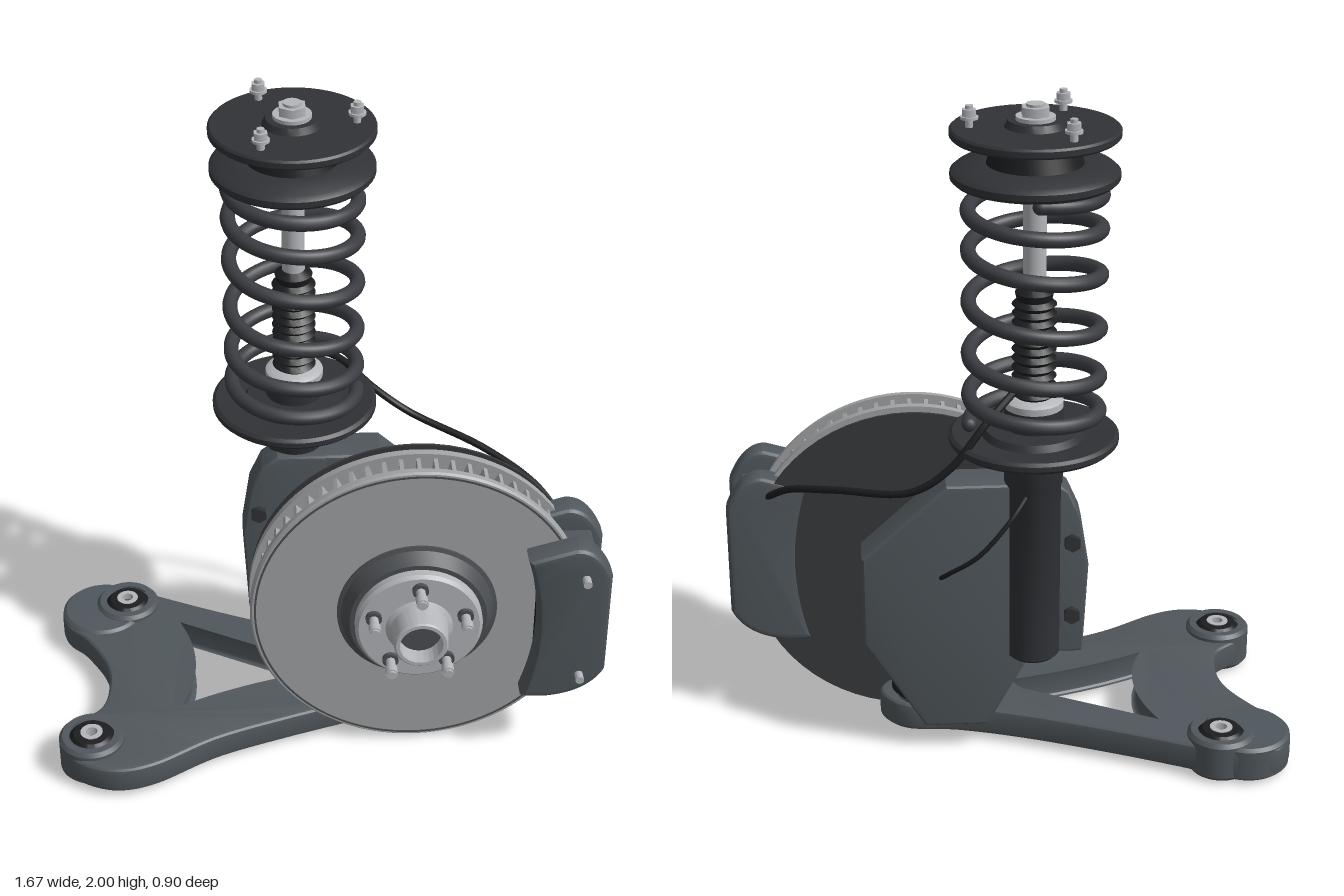
import * as THREE from 'three';
import { toCreasedNormals } from 'three/addons/utils/BufferGeometryUtils.js';
import { RoundedBoxGeometry } from 'three/addons/geometries/RoundedBoxGeometry.js';

const paint = (color) => new THREE.MeshStandardMaterial({ color, side: THREE.DoubleSide });
const MAT = {
  iron: paint(0x50575c), black: paint(0x303236), spring: paint(0x3a3c41), rubber: paint(0x1c1d1f),
  rotor: paint(0xa2a4a6), hat: paint(0x4c4f52), silver: paint(0xb4b6ba), shield: paint(0x38393c),
};
const V = (x, y, z) => new THREE.Vector3(x, y, z);
const P = (list) => list.map(([x, y]) => new THREE.Vector2(x, y));

export function createModel() {
  const root = new THREE.Group();
  root.name = 'suspensionCorner';

  function group(name, x = 0, y = 0, z = 0) {
    const g = new THREE.Group();
    g.name = name;
    g.position.set(x, y, z);
    root.add(g);
    return g;
  }
  function add(parent, name, geo, mat, x = 0, y = 0, z = 0) {
    const m = new THREE.Mesh(geo, mat);
    m.name = name;
    m.position.set(x, y, z);
    parent.add(m);
    return m;
  }
  const lathe = (pts, seg = 48) => toCreasedNormals(new THREE.LatheGeometry(P(pts), seg), 0.6);
  const latheZ = (pts, seg = 64) => lathe(pts, seg).rotateX(Math.PI / 2);
  const ring = (ri, ro, a, b) => [[ri, a], [ro, a], [ro, b], [ri, b], [ri, a]];
  const cylZ = (r, len, seg = 24) => new THREE.CylinderGeometry(r, r, len, seg).rotateX(Math.PI / 2);
  const tube = (pts, r) => new THREE.TubeGeometry(new THREE.CatmullRomCurve3(pts), 60, r, 10);
  // Extrusion spanning a to b, bevel included
  function slab(shape, a, b, bevel) {
    const geo = new THREE.ExtrudeGeometry(shape, {
      depth: b - a - 2 * bevel, bevelThickness: bevel, bevelSize: bevel, bevelOffset: -bevel,
      bevelSegments: 3, curveSegments: 24,
    });
    return toCreasedNormals(geo.translate(0, 0, a + bevel), 0.5);
  }

  // Strut: everything turned about one vertical axis
  const strut = group('strut', -0.075, 0, -0.16);
  add(strut, 'damperTube', lathe([[0, 0.31], [0.07, 0.31], [0.08, 0.32], [0.08, 0.87], [0.085, 0.88],
    [0.085, 1.115], [0, 1.115]]), MAT.black);
  add(strut, 'tubeCap', lathe([[0, 1.115], [0.085, 1.115], [0.085, 1.135], [0.07, 1.145], [0, 1.145]]), MAT.silver);
  add(strut, 'lowerSpringSeat', lathe([[0.08, 0.985], [0.13, 1.0], [0.235, 1.005], [0.245, 1.015], [0.245, 1.03],
    [0.235, 1.038], [0.15, 1.03], [0.14, 1.05], [0.08, 1.055]]), MAT.black);
  const bellows = [[0.045, 1.14]];
  for (let i = 0; i < 11; i++) bellows.push([0.064, 1.155 + i * 0.027], [0.05, 1.1685 + i * 0.027]);
  bellows.push([0.055, 1.46], [0.033, 1.475]);
  add(strut, 'dustBoot', lathe(bellows, 32), MAT.rubber);
  add(strut, 'pistonRod', new THREE.CylinderGeometry(0.033, 0.033, 0.74, 32), MAT.silver, 0, 1.5, 0);
  add(strut, 'upperSpringSeat', lathe([[0, 1.79], [0.225, 1.785], [0.235, 1.795], [0.235, 1.812], [0.22, 1.825],
    [0.14, 1.835], [0, 1.835]]), MAT.black);
  add(strut, 'mountRubber', lathe([[0, 1.835], [0.135, 1.835], [0.13, 1.85], [0.11, 1.912], [0, 1.912]]), MAT.rubber);
  add(strut, 'topMountPlate', lathe([[0, 1.908], [0.23, 1.908], [0.236, 1.914], [0.236, 1.93], [0.23, 1.936],
    [0.085, 1.936], [0.075, 1.955], [0, 1.955]]), MAT.black);
  add(strut, 'centreWasher', new THREE.CylinderGeometry(0.055, 0.055, 0.012, 32), MAT.silver, 0, 1.96, 0);
  add(strut, 'centreNut', new THREE.CylinderGeometry(0.042, 0.042, 0.03, 6), MAT.silver, 0, 1.977, 0);
  add(strut, 'rodEnd', new THREE.CylinderGeometry(0.026, 0.026, 0.03, 20), MAT.silver, 0, 1.985, 0);
  for (let i = 0; i < 3; i++) {
    const a = i * Math.PI * 2 / 3, x = 0.18 * Math.cos(a), z = 0.18 * Math.sin(a);
    add(strut, 'mountStud', new THREE.CylinderGeometry(0.011, 0.011, 0.085, 12), MAT.silver, x, 1.955, z);
    add(strut, 'mountWasher', new THREE.CylinderGeometry(0.025, 0.025, 0.008, 20), MAT.silver, x, 1.963, z);
    add(strut, 'mountNut', new THREE.CylinderGeometry(0.021, 0.021, 0.02, 6), MAT.silver, x, 1.977, z);
  }
  // Coil spring, with end coils wound closer
  const coil = [];
  for (let i = 0; i <= 140; i++) {
    const t = i / 140, a = t * 5.75 * Math.PI * 2;
    coil.push(V(0.186 * Math.cos(a), 1.06 + 0.705 * (t - 0.05 * Math.sin(2 * Math.PI * t)), 0.186 * Math.sin(a)));
  }
  add(strut, 'coilSpring', new THREE.TubeGeometry(new THREE.CatmullRomCurve3(coil), 420, 0.022, 12), MAT.spring);
  for (const p of [coil[0], coil[140]]) add(strut, 'springEnd', new THREE.SphereGeometry(0.022, 12, 8), MAT.spring, p.x, p.y, p.z);

  // Knuckle and the clamp holding the strut
  const knuckle = group('knuckle');
  add(knuckle, 'knuckleBody', slab(new THREE.Shape(P([[-0.06, 0.3], [0.06, 0.08], [0.25, 0.08], [0.43, 0.37],
    [0.43, 0.65], [0.18, 0.88], [-0.06, 0.88]])), -0.195, -0.062, 0.015), MAT.iron);
  add(knuckle, 'strutClamp', slab(new THREE.Shape(P([[-0.225, 0.31], [0.02, 0.31], [0.02, 0.88], [-0.13, 0.88],
    [-0.18, 0.84], [-0.215, 0.76], [-0.24, 0.6]])), -0.17, -0.06, 0.012), MAT.iron);
  for (const y of [0.44, 0.68]) add(knuckle, 'clampBolt', cylZ(0.026, 0.15, 6), MAT.black, -0.19, y, -0.115);
  add(knuckle, 'hubCarrier', latheZ([[0, -0.08], [0.15, -0.08], [0.13, 0.0], [0.13, 0.1], [0, 0.1]]), MAT.iron, 0.275, 0.51, 0);

  // Brake rotor, hub and wheel studs, all about the wheel axis
  const wheel = group('rotorAndHub', 0.275, 0.51, 0);
  add(wheel, 'dustShield', latheZ(ring(0.1, 0.495, 0.062, 0.07)), MAT.shield);
  add(wheel, 'innerDisc', latheZ(ring(0.17, 0.5, 0.1, 0.124), 96), MAT.rotor);
  add(wheel, 'outerDisc', latheZ([[0.2, 0.196], [0.5, 0.196], [0.5, 0.214], [0.494, 0.22], [0.2, 0.22]], 96), MAT.rotor);
  add(wheel, 'discRim', latheZ(ring(0.482, 0.488, 0.215, 0.222), 96), MAT.hat);
  for (let i = 0; i < 60; i++) {
    const a = i * Math.PI / 30;
    const vane = add(wheel, 'coolingVane', new THREE.BoxGeometry(0.24, 0.012, 0.08), MAT.rotor,
      0.365 * Math.cos(a), 0.365 * Math.sin(a), 0.16);
    vane.rotation.z = a;
  }
  add(wheel, 'rotorHat', latheZ([[0.18, 0.1], [0.24, 0.2], [0.24, 0.226], [0.228, 0.23], [0.205, 0.272], [0, 0.272]]), MAT.hat);
  add(wheel, 'hubFlange', latheZ([[0, 0.27], [0.19, 0.27], [0.19, 0.295], [0.18, 0.305], [0.1, 0.305],
    [0.086, 0.315], [0.08, 0.385], [0.075, 0.39], [0.064, 0.39], [0.064, 0.33], [0, 0.33]]), MAT.silver);
  add(wheel, 'hubBore', cylZ(0.063, 0.01), MAT.hat, 0, 0, 0.33);
  for (let i = 0; i < 5; i++) {
    const a = Math.PI / 2 + i * Math.PI * 0.4, x = 0.143 * Math.cos(a), y = 0.143 * Math.sin(a);
    add(wheel, 'studCollar', cylZ(0.024, 0.02), MAT.hat, x, y, 0.308);
    add(wheel, 'wheelStud', cylZ(0.014, 0.1, 16), MAT.silver, x, y, 0.335);
    add(wheel, 'studTip', cylZ(0.018, 0.03, 16), MAT.silver, x, y, 0.363);
  }

  // Brake caliper: two halves, two bridges, pads and pins
  const caliper = group('caliper');
  const half = new THREE.Shape();
  half.moveTo(0.585, 0.255);
  half.lineTo(0.655, 0.25);
  half.quadraticCurveTo(0.79, 0.26, 0.835, 0.355);
  half.lineTo(0.835, 0.7);
  half.quadraticCurveTo(0.79, 0.81, 0.72, 0.805);
  half.lineTo(0.585, 0.765);
  half.quadraticCurveTo(0.665, 0.51, 0.585, 0.255);
  add(caliper, 'outerHalf', slab(half, 0.256, 0.342, 0.02), MAT.iron);
  add(caliper, 'innerHalf', slab(half, 0.058, 0.143, 0.02), MAT.iron);
  for (const y of [0.335, 0.695]) {
    add(caliper, 'bridge', new RoundedBoxGeometry(0.115, 0.075, 0.16, 2, 0.01), MAT.iron, 0.735 + 0.005, y, 0.2);
    add(caliper, 'guidePin', cylZ(0.013, 0.06, 16), MAT.silver, 0.755, y + 0.008, 0.342);
  }
  for (const z of [0.088, 0.235]) add(caliper, 'brakePad', new THREE.BoxGeometry(0.12, 0.34, 0.028), MAT.rubber, 0.69, 0.515, z);

  // Lower control arm: an A-shaped plate seen from above
  const arm = group('lowerArm');
  const outline = new THREE.Shape();
  outline.moveTo(-0.705, -0.452);
  outline.splineThru(P([[-0.79, -0.425], [-0.836, -0.34], [-0.82, -0.25], [-0.755, -0.175], [-0.69, -0.06],
    [-0.672, 0.04], [-0.69, 0.15], [-0.765, 0.22], [-0.81, 0.3], [-0.785, 0.375], [-0.71, 0.43], [-0.62, 0.45],
    [-0.51, 0.42], [-0.33, 0.315], [-0.1, 0.23], [0.15, 0.15], [0.31, 0.085], [0.38, 0.02], [0.37, -0.05], [0.3, -0.11],
    [0.15, -0.13], [-0.05, -0.19], [-0.3, -0.29], [-0.51, -0.385], [-0.6, -0.43], [-0.705, -0.452]]));
  const hole = new THREE.Path();
  hole.moveTo(-0.48, -0.265);
  hole.quadraticCurveTo(-0.35, -0.02, -0.48, 0.2);
  hole.quadraticCurveTo(-0.28, 0.09, -0.02, 0.035);
  hole.quadraticCurveTo(0.0, 0.0, -0.05, -0.05);
  hole.lineTo(-0.48, -0.265);
  outline.holes.push(hole);
  add(arm, 'armPlate', slab(outline, 0, 0.09, 0.015).rotateX(Math.PI / 2), MAT.iron, 0, 0.11, 0);
  for (const [x, z] of [[-0.715, 0.305], [-0.625, -0.345]]) {
    add(arm, 'bushingHousing', lathe([[0.068, 0.008], [0.09, 0.008], [0.1, 0.02], [0.1, 0.12], [0.09, 0.132],
      [0.068, 0.132]]), MAT.iron, x, 0, z);
    add(arm, 'bushingRubber', lathe([[0.03, 0.0], [0.055, 0.004], [0.07, 0.018], [0.07, 0.12], [0.055, 0.136],
      [0.03, 0.138]]), MAT.rubber, x, 0, z);
    add(arm, 'bushingSleeve', lathe(ring(0.018, 0.034, 0.0, 0.14), 24), MAT.silver, x, 0, z);
  }
  // Boss widening the plate beside the rear bushing
  add(arm, 'rearBoss', lathe([[0, 0.01], [0.12, 0.01], [0.13, 0.02], [0.13, 0.115], [0.12, 0.125], [0, 0.125]]),
    MAT.iron, -0.705, 0, -0.322).scale.set(1, 0.95, 1);
  // Ball joint on the outer end
  add(arm, 'ballJointSocket', lathe([[0, 0.04], [0.06, 0.04], [0.045, 0.1], [0.06, 0.115], [0, 0.115]]), MAT.black, 0.27, 0, -0.05);
  add(arm, 'ballJointBoot', lathe([[0, 0.11], [0.055, 0.115], [0.078, 0.14], [0.078, 0.165], [0.05, 0.19], [0, 0.195]]),
    MAT.rubber, 0.27, 0, -0.045);
  add(arm, 'ballJointStud', new THREE.CylinderGeometry(0.022, 0.022, 0.09, 20), MAT.silver, 0.27, 0.22, -0.04);
  add(arm, 'ballJointNut', new THREE.CylinderGeometry(0.036, 0.036, 0.035, 6), MAT.silver, 0.27, 0.235, -0.04);

  // Flexible lines
  const lines = group('lines');
  add(lines, 'brakeHose', tube([V(-0.02, 1.18, -0.2), V(0.07, 1.1, -0.26), V(0.17, 0.98, -0.285), V(0.28, 0.9, -0.265),
    V(0.5, 0.85, -0.13), V(0.64, 0.8, -0.01), V(0.71, 0.74, 0.07)], 0.011), MAT.rubber);
  add(lines, 'sensorWire', tube([V(-0.06, 0.87, -0.22), V(0, 0.8, -0.27), V(0.09, 0.7, -0.285), V(0.18, 0.62, -0.24),
    V(0.2, 0.58, -0.185)], 0.007), MAT.rubber);
  return root;
}
